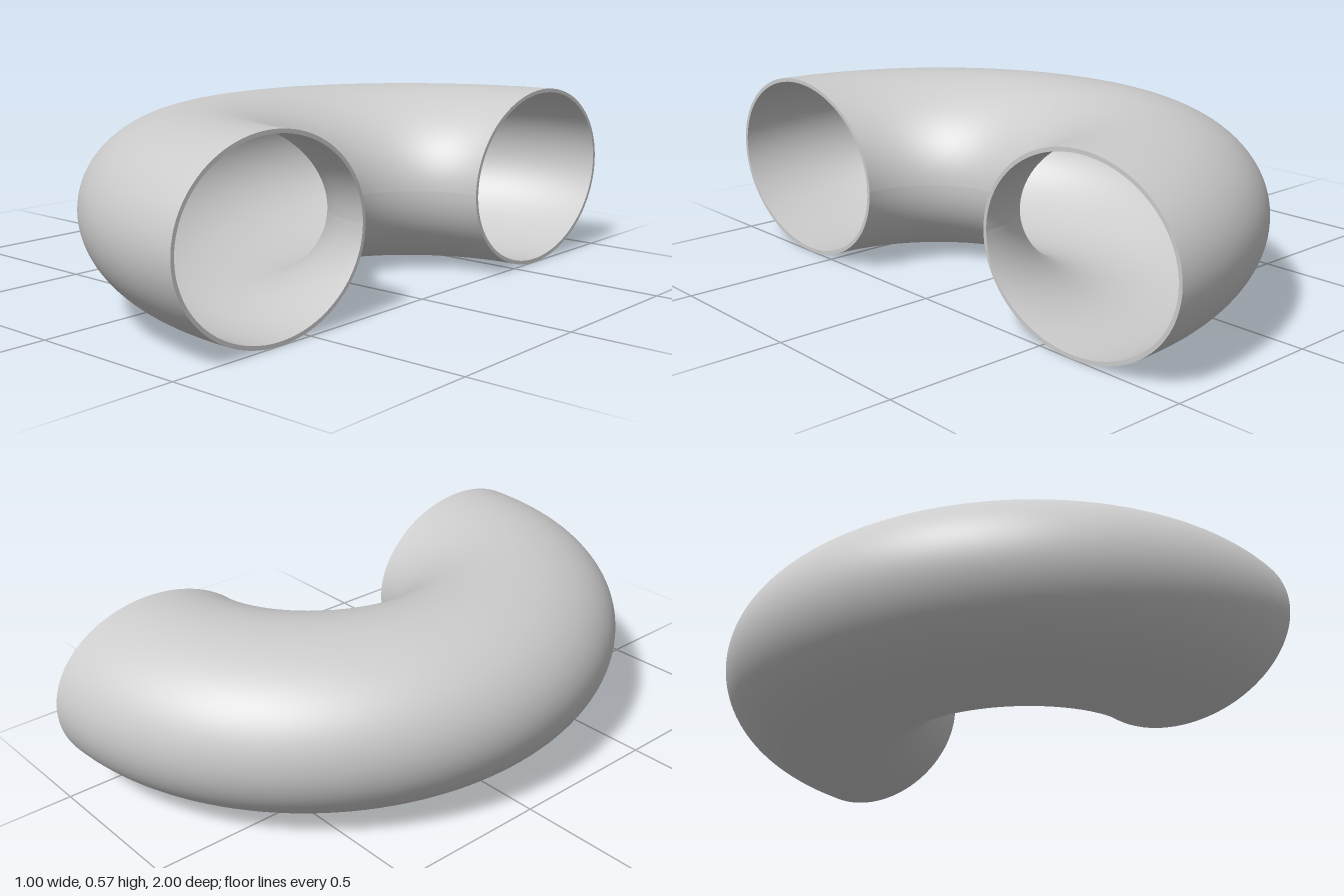
import * as THREE from 'three';

const BEND_RADIUS = 0.635; // bend axis to tube centre
const HALF_WIDTH = 0.365, HALF_HEIGHT = 0.287;
const WALL = 0.012;
const AXIS_X = 0.5;

// Slightly leaning oval section in (radius, height), counter-clockwise from the inner side
function section(inset, segments = 96) {
  const points = [];
  for (let i = 0; i <= segments; i++) {
    const t = Math.PI + (i / segments) * Math.PI * 2;
    points.push(new THREE.Vector2(
      BEND_RADIUS + (HALF_WIDTH - inset) * Math.cos(t),
      HALF_HEIGHT + (HALF_HEIGHT - inset) * Math.sin(t) + 0.012 * Math.cos(t)
    ));
  }
  return points;
}

export function createModel() {
  const group = new THREE.Group();
  group.name = 'pipeBend';
  const material = new THREE.MeshStandardMaterial({ color: 0xcccccc });

  const add = (name, geometry) => {
    const mesh = new THREE.Mesh(geometry, material);
    mesh.name = name;
    mesh.position.x = AXIS_X;
    group.add(mesh);
  };

  const outer = section(0);
  const inner = section(WALL);

  // Outside and inside skins, swept through a half turn
  add('outerWall', new THREE.LatheGeometry(outer, 80, Math.PI, Math.PI));
  add('innerWall', new THREE.LatheGeometry([...inner].reverse(), 80, Math.PI, Math.PI));

  // Flat rims closing the wall thickness at both open ends
  for (const [name, side] of [['backRim', 1], ['frontRim', -1]]) {
    const mirror = (points) => points.slice(0, -1).map((p) => new THREE.Vector2(p.x * side, p.y));
    const rim = new THREE.Shape(mirror(outer));
    rim.holes.push(new THREE.Path(mirror(inner)));
    add(name, new THREE.ShapeGeometry(rim).rotateY(Math.PI / 2));
  }
  return group;
}
